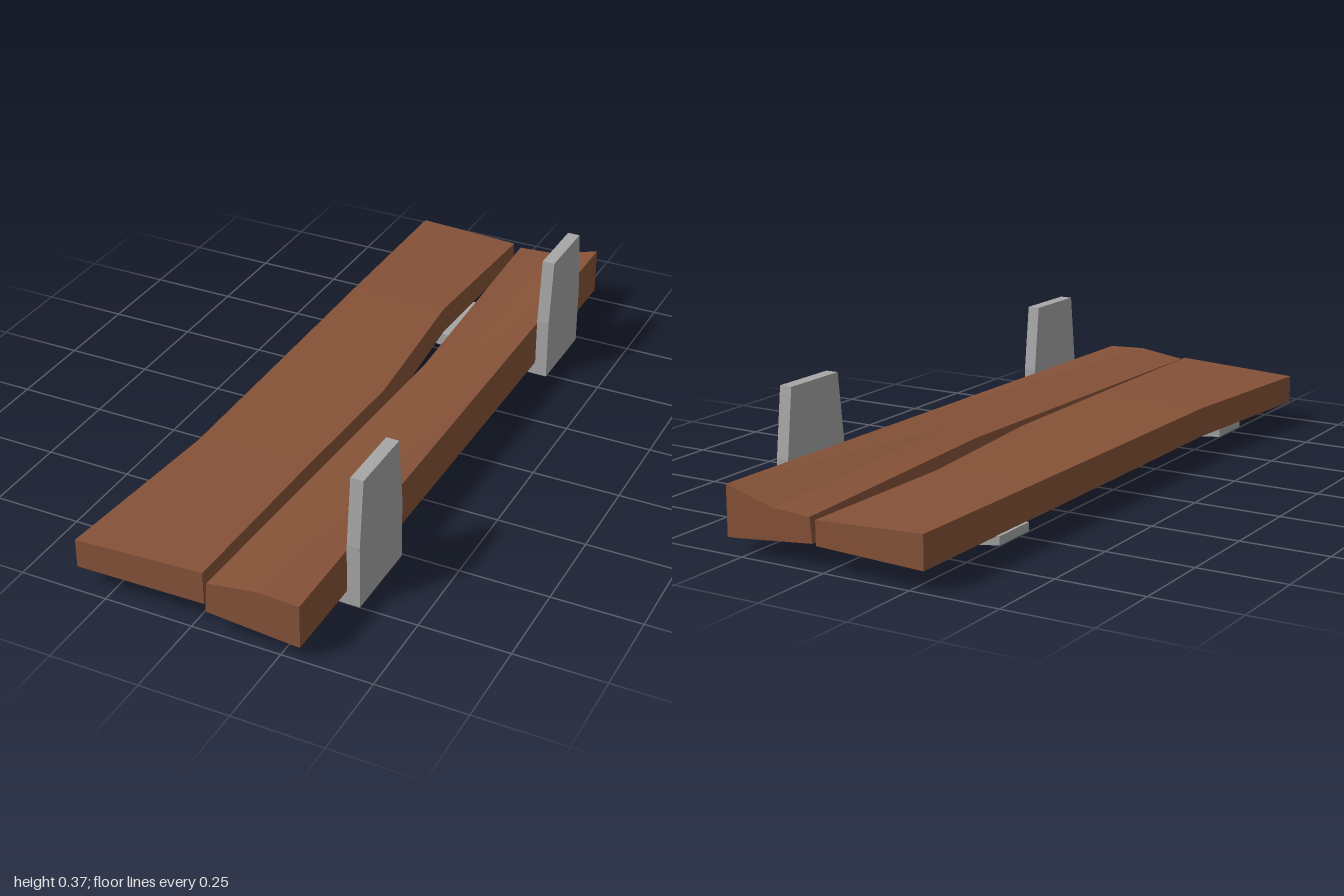
import * as THREE from 'three';

const wood = new THREE.MeshStandardMaterial({ color: 0x855237, flatShading: true });
wood.name = 'brown wood';
const metal = new THREE.MeshStandardMaterial({ color: 0xa6a6a6, flatShading: true });
metal.name = 'grey metal';

// Skin a row of cross-sections; each runs counter-clockwise seen from the first end.
function loft(name, sections, material) {
  const out = [];
  const tri = (a, b, c) => out.push(...a, ...b, ...c);
  const n = sections[0].length;
  for (let s = 0; s < sections.length - 1; s++) {
    const p = sections[s], q = sections[s + 1];
    for (let i = 0; i < n; i++) {
      const j = (i + 1) % n;
      tri(p[i], q[i], p[j]);
      tri(p[j], q[i], q[j]);
    }
  }
  const first = sections[0], last = sections[sections.length - 1];
  for (let i = 1; i < n - 1; i++) {
    tri(first[0], first[i], first[i + 1]);
    tri(last[0], last[i + 1], last[i]);
  }
  const geometry = new THREE.BufferGeometry();
  geometry.setAttribute('position', new THREE.Float32BufferAttribute(out, 3));
  geometry.computeVertexNormals();
  const mesh = new THREE.Mesh(geometry, material);
  mesh.name = name;
  return mesh;
}

// L-shaped bracket: upright plate outside the shelf and a tapering arm below it
function makeBracket(name, z) {
  const bracket = new THREE.Group();
  bracket.name = name;
  bracket.position.z = z;
  const plate = [[0.368, 0.1], [0.18, 0.122], [0, 0.122]].map(([y, w]) => [
    [0.304, y, w], [0.34, y, w], [0.34, y, -w], [0.304, y, -w],
  ]);
  // x, bottom, top, half width
  const arm = [
    [0.304, 0, 0.04, 0.122],
    [0.1, 0.007, 0.052, 0.119],
    [-0.12, 0.02, 0.055, 0.102],
    [-0.303, 0.033, 0.057, 0.07],
  ].map(([x, y0, y1, w]) => [[x, y0, w], [x, y0, -w], [x, y1, -w], [x, y1, w]]);
  bracket.add(loft('bracketPlate', plate, metal), loft('bracketArm', arm, metal));
  return bracket;
}

export function createModel() {
  const group = new THREE.Group();
  group.name = 'plankShelf';

  // z, outer x, inner x, outer bottom, inner bottom, inner top, outer top
  const outerPlank = [
    [0.98, -0.342, 0.027, 0.058, 0.064, 0.158, 0.14],
    [0.45, -0.295, 0.034, 0.057, 0.058, 0.152, 0.142],
    [0, -0.295, 0.044, 0.056, 0.055, 0.144, 0.143],
    [-0.5, -0.295, 0, 0.056, 0.06, 0.14, 0.145],
    [-1, -0.292, 0.02, 0.055, 0.066, 0.132, 0.146],
  ].map(([z, xo, xi, bo, bi, ti, to]) => [[xo, bo, z], [xi, bi, z], [xi, ti, z], [xo, to, z]]);
  group.add(loft('frontPlank', outerPlank, wood));

  // z, inner x, inner bottom, outer top, ridge x, ridge top, inner top
  const wallPlank = [
    [1, 0.043, 0.06, 0.163, 0.19, 0.168, 0.148],
    [-0.18, 0.08, 0.057, 0.171, 0.19, 0.156, 0.142],
    [-0.985, 0.042, 0.064, 0.177, 0.16, 0.137, 0.131],
  ].map(([z, xi, bi, to, xr, tr, ti]) => [
    [xi, bi, z], [0.28, 0.041, z], [0.304, 0.04, z], [0.304, to, z], [xr, tr, z], [xi + 0.006, ti, z],
  ]);
  group.add(loft('wallPlank', wallPlank, wood));

  group.add(makeBracket('frontBracket', 0.628), makeBracket('backBracket', -0.612));
  return group;
}
